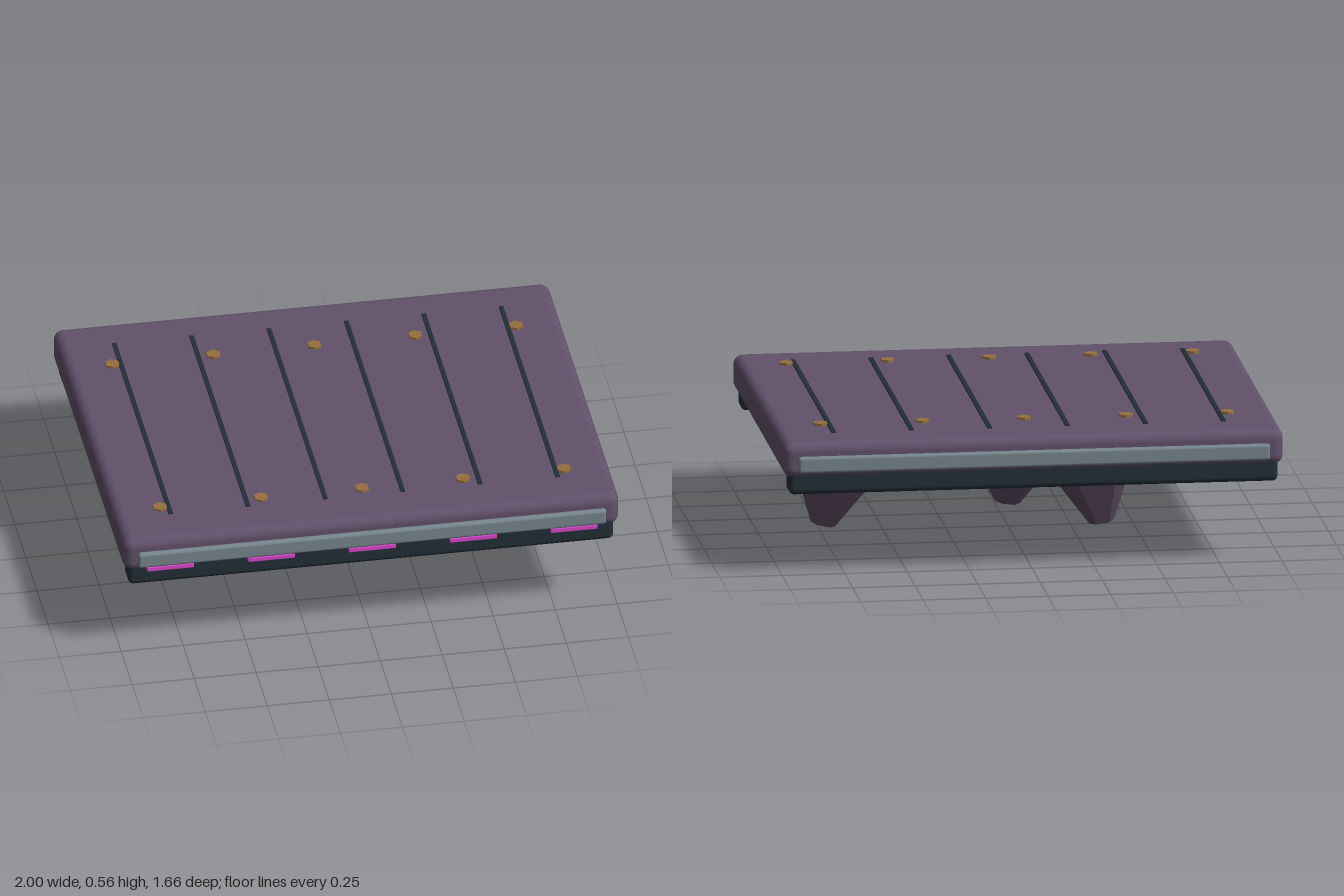
import * as THREE from 'three';
import { RoundedBoxGeometry } from 'three/addons/geometries/RoundedBoxGeometry.js';

const paint = (name, color, flatShading = false) => {
  const m = new THREE.MeshStandardMaterial({ color, flatShading });
  m.name = name;
  return m;
};

export function createModel() {
  const model = new THREE.Group();
  model.name = 'floatingPlatform';

  const plum = paint('plum slab', 0x61506a);
  const rock = paint('dusky rock', 0x5a4a60, true);
  const dark = paint('dark slate', 0x222e36);
  const steel = paint('grey steel', 0x76858c);
  const magenta = paint('magenta glow', 0xd648c8);
  const bronze = paint('bronze', 0x94703f, true);

  const add = (name, geometry, material, x, y, z) => {
    const mesh = new THREE.Mesh(geometry, material);
    mesh.name = name;
    mesh.position.set(x, y, z);
    model.add(mesh);
    return mesh;
  };

  // Main slab
  add('slab', new RoundedBoxGeometry(2, 0.145, 1.62, 4, 0.04), plum, 0, 0.481, 0);

  // Under-rails and edge trims, front and back
  for (const s of [1, -1]) {
    add('underRail', new RoundedBoxGeometry(1.956, 0.1, 0.106, 3, 0.022), dark, 0, 0.39, s * 0.747);
    add('edgeTrim', new RoundedBoxGeometry(1.886, 0.066, 0.05, 3, 0.012), steel, 0, 0.466, s * 0.805);
  }

  // Dark seams across the deck
  for (let i = 0; i < 6; i++) {
    add('deckSeam', new THREE.BoxGeometry(0.018, 0.012, 1.28), dark, -0.78 + i * 0.312, 0.554, -0.003);
  }

  // Hexagonal bolts, with a glow strip under the front trim at each column
  for (let i = -2; i <= 2; i++) {
    const x = i * 0.407;
    for (const z of [-0.492, 0.585]) {
      add('bolt', new THREE.CylinderGeometry(0.03, 0.03, 0.016, 6), bronze, x, 0.555, z);
    }
    add('glowStrip', new RoundedBoxGeometry(0.19, 0.022, 0.024, 2, 0.005), magenta, x, 0.422, 0.812);
  }

  // Tilted rock spikes below: base x, base y, length, tilt
  const spikes = [
    [-0.645, 0.39, 0.2, -0.52],
    [-0.31, 0.39, 0.383, -0.17],
    [-0.03, 0.39, 0.29, 0.11],
    [0.275, 0.405, 0.2, 0.54],
    [0.66, 0.395, 0.37, 0.22],
  ];
  for (const [x, y, length, tilt] of spikes) {
    const g = new THREE.CylinderGeometry(0.25, 0.05, length, 6);
    g.rotateY(Math.PI / 6);
    g.translate(0, -length / 2, 0);
    add('rockSpike', g, rock, x, y, 0).rotation.z = tilt;
  }

  return model;
}
